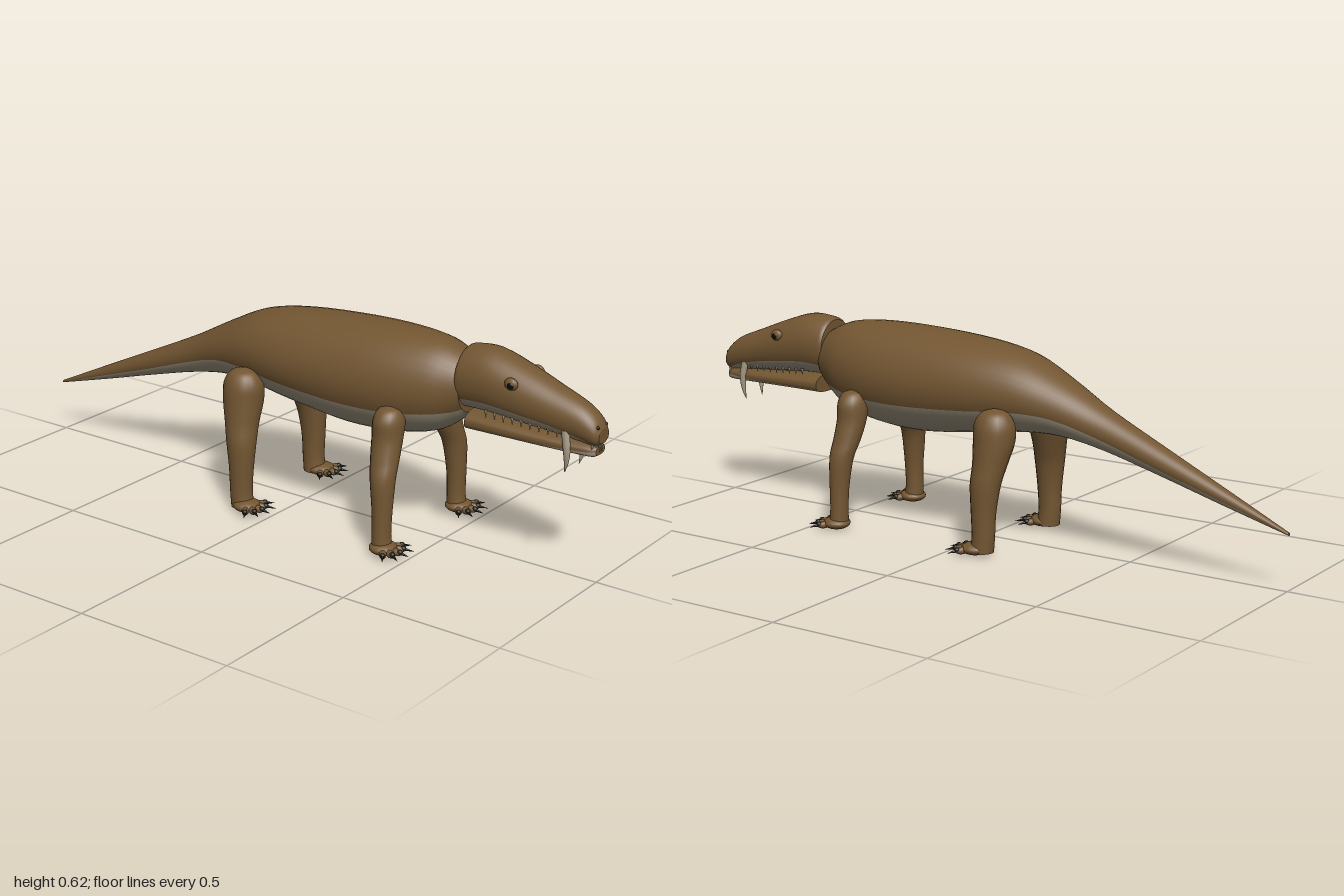
import * as THREE from 'three';

const mat = (name, color) => Object.assign(new THREE.MeshStandardMaterial({ color }), { name });

// Smooths a short table of section rows into many rows
function refine(rows, steps) {
  const n = rows.length, k = rows[0].length;
  const spline = new THREE.CubicInterpolant(rows.map((_, i) => i), rows.flat(), k, new Float32Array(k));
  const out = [];
  for (let i = 0; i <= (n - 1) * steps; i++) out.push(Array.from(spline.evaluate(i / steps)));
  return out;
}

// Skins closed rings; segments from index `split` on use the second material
function loft(rings, split) {
  const n = rings[0].length, pos = rings.flat(2), upper = [], lower = [];
  for (let i = 0; i < rings.length - 1; i++) {
    for (let j = 0; j < n; j++) {
      const a = i * n + j, b = i * n + (j + 1) % n;
      (j < split ? upper : lower).push(a, a + n, b, b, a + n, b + n);
    }
  }
  // End caps with their own vertices, so the rims stay sharp
  [rings[0], rings[rings.length - 1]].forEach((ring, end) => {
    const base = pos.length / 3;
    pos.push(...ring.flat());
    for (let c = 0; c < 3; c++) pos.push(ring.reduce((s, p) => s + p[c], 0) / n);
    for (let j = 0; j < n; j++) {
      const a = base + j, b = base + (j + 1) % n;
      upper.push(base + n, end ? b : a, end ? a : b);
    }
  });
  const g = new THREE.BufferGeometry();
  g.setAttribute('position', new THREE.Float32BufferAttribute(pos, 3));
  g.setIndex([...upper, ...lower]);
  g.addGroup(0, upper.length, 0);
  g.addGroup(upper.length, lower.length, 1);
  g.computeVertexNormals();
  return g;
}

// Rows run from front to back: [z, top, bottom, half width, height of colour edge];
// pow < 1 makes the lower half boxier
function trunk(rows, pow = 1) {
  const up = 24, low = 16;
  const rings = refine(rows, 4).map(([z, top, bottom, w, edge]) => {
    const yc = (top + bottom) / 2, ry = Math.max((top - bottom) / 2, 0.002);
    const s = THREE.MathUtils.clamp((edge - yc) / ry, -0.97, 0);
    const a = -Math.asin(Math.pow(-s, 1 / pow)), ring = [];
    for (let j = 0; j < up + low; j++) {
      const t = j < up ? a + (Math.PI - 2 * a) * j / up
        : Math.PI - a + (Math.PI + 2 * a) * (j - up) / low;
      const p = Math.sin(t) < 0 ? pow : 1;
      const f = v => Math.sign(v) * Math.pow(Math.abs(v), p);
      ring.push([w * f(Math.cos(t)), yc + ry * f(Math.sin(t)), z]);
    }
    return ring;
  });
  return loft(rings, up);
}

// Rows are [x, y, z, radius x, radius z], from the top down
function limb(rows) {
  const n = 18;
  return loft(refine(rows, 4).map(([x, y, z, rx, rz]) => Array.from({ length: n }, (_, j) => {
    const t = j / n * Math.PI * 2;
    return [x + rx * Math.cos(t), y, z - rz * Math.sin(t)];
  })), n);
}

export function createModel() {
  const model = new THREE.Group();
  model.name = 'sabreToothedReptile';
  const hide = mat('brownHide', 0x735632), belly = mat('paleBelly', 0x9c917d);
  const ivory = mat('ivory', 0xa89c86), claw = mat('darkClaw', 0x1e1c14), dark = mat('blackEye', 0x0c0a08);

  const add = (parent, name, geometry, material, p = [0, 0, 0], s = [1, 1, 1]) => {
    const m = new THREE.Mesh(geometry, material);
    m.name = name;
    m.position.set(...p);
    m.scale.set(...s);
    parent.add(m);
    return m;
  };
  const ball = new THREE.SphereGeometry(1, 16, 12);

  // Body and tail in one skin
  add(model, 'bodyAndTail', trunk([
    [0.58, 0.565, 0.41, 0.075, 0.43], [0.55, 0.585, 0.38, 0.092, 0.42], [0.48, 0.61, 0.335, 0.125, 0.41],
    [0.36, 0.62, 0.308, 0.153, 0.40], [0.2, 0.618, 0.30, 0.163, 0.40], [0, 0.603, 0.322, 0.155, 0.41],
    [-0.15, 0.575, 0.342, 0.13, 0.42], [-0.28, 0.515, 0.345, 0.095, 0.41], [-0.42, 0.44, 0.32, 0.061, 0.365],
    [-0.6, 0.355, 0.272, 0.042, 0.30], [-0.8, 0.262, 0.215, 0.024, 0.232], [-1, 0.168, 0.16, 0.006, 0.162],
  ]), [hide, belly]);

  // Head
  const head = new THREE.Group();
  head.name = 'head';
  model.add(head);
  add(head, 'skull', trunk([
    [1, 0.455, 0.412, 0.028, 0.412], [0.983, 0.484, 0.402, 0.041, 0.41], [0.94, 0.515, 0.407, 0.051, 0.428],
    [0.86, 0.546, 0.415, 0.063, 0.447], [0.76, 0.584, 0.422, 0.076, 0.462], [0.66, 0.615, 0.43, 0.083, 0.472],
    [0.585, 0.612, 0.43, 0.081, 0.468], [0.567, 0.603, 0.43, 0.077, 0.46],
  ], 0.9), [hide, belly]);
  add(head, 'lowerJaw', trunk([
    [0.992, 0.405, 0.378, 0.024, 0.391], [0.98, 0.409, 0.373, 0.033, 0.39], [0.94, 0.413, 0.373, 0.042, 0.388],
    [0.83, 0.42, 0.375, 0.056, 0.386], [0.7, 0.428, 0.376, 0.065, 0.387], [0.597, 0.432, 0.375, 0.067, 0.386],
  ], 0.6), [hide, belly]);

  const tooth = new THREE.ConeGeometry(1, 1, 8).rotateX(Math.PI);
  for (const side of [1, -1]) {
    // Eyes under low brow lids
    add(head, 'eyelid', ball, hide, [side * 0.07, 0.546, 0.747], [0.012, 0.018, 0.021]);
    add(head, 'eye', ball, dark, [side * 0.076, 0.544, 0.749], [0.008, 0.011, 0.012]);
    add(head, 'nostril', ball, dark, [side * 0.022, 0.46, 0.992], [0.005, 0.005, 0.006]);
    // Long curved sabre
    add(head, 'sabre', limb([
      [side * 0.043, 0.44, 0.905, 0.009, 0.012], [side * 0.045, 0.39, 0.913, 0.009, 0.011],
      [side * 0.043, 0.35, 0.913, 0.006, 0.007], [side * 0.039, 0.318, 0.907, 0.001, 0.001],
    ]), ivory);
    // Small cheek teeth and incisors
    for (let i = 0; i < 9; i++) {
      const u = i / 8;
      add(head, 'cheekTooth', tooth, ivory,
        [side * (0.055 - 0.013 * u), 0.436 - 0.012 * u, 0.66 + 0.22 * u], [0.005, 0.022, 0.005]);
    }
    for (let i = 0; i < 3; i++) {
      add(head, 'incisor', tooth, ivory, [side * (0.006 + 0.011 * i), 0.397, 0.993 - 0.006 * i], [0.004, 0.028, 0.004]);
    }
  }

  // Legs: path rows plus the foot position
  const kinds = {
    frontLeg: { foot: [0.196, 0.42], rows: [
      [0.14, 0.425, 0.395, 0.008, 0.008], [0.14, 0.415, 0.395, 0.033, 0.032], [0.141, 0.385, 0.395, 0.05, 0.045],
      [0.147, 0.335, 0.395, 0.046, 0.045], [0.166, 0.275, 0.4, 0.041, 0.042], [0.185, 0.22, 0.407, 0.037, 0.037],
      [0.192, 0.13, 0.411, 0.03, 0.03], [0.194, 0.06, 0.411, 0.029, 0.028], [0.194, 0.01, 0.414, 0.031, 0.031]] },
    hindLeg: { foot: [0.186, -0.085], rows: [
      [0.145, 0.432, -0.125, 0.008, 0.008], [0.145, 0.42, -0.125, 0.038, 0.042], [0.145, 0.385, -0.125, 0.056, 0.062],
      [0.147, 0.335, -0.125, 0.06, 0.062], [0.161, 0.27, -0.12, 0.051, 0.052], [0.174, 0.21, -0.113, 0.044, 0.046],
      [0.179, 0.13, -0.11, 0.036, 0.038], [0.18, 0.06, -0.11, 0.033, 0.035], [0.18, 0.01, -0.105, 0.034, 0.036]] },
  };
  const clawCone = new THREE.ConeGeometry(0.0065, 0.036, 8).rotateX(Math.PI / 2);
  for (const [name, { foot, rows }] of Object.entries(kinds)) {
    for (const side of [1, -1]) {
      const leg = new THREE.Group();
      leg.name = (side > 0 ? 'left ' : 'right ') + name;
      model.add(leg);
      add(leg, 'limb', limb(rows.map(([x, ...rest]) => [x * side, ...rest])), hide);
      const [fx, fz] = foot;
      add(leg, 'foot', ball, hide, [fx * side, 0.019, fz], [0.042, 0.019, 0.042]);
      // Five spread toes with claws
      for (let i = -2; i <= 2; i++) {
        const toe = new THREE.Group();
        toe.name = 'toe';
        toe.position.set(fx * side, 0.016, fz);
        toe.rotation.y = i * 0.5;
        leg.add(toe);
        add(toe, 'toePad', ball, hide, [0, 0, 0.042], [0.011, 0.011, 0.021]);
        add(toe, 'claw', clawCone, claw, [0, -0.001, 0.071]).rotation.x = 0.15;
        add(toe, 'clawBase', ball, claw, [0, 0.003, 0.057], [0.008, 0.008, 0.009]);
      }
    }
  }
  return model;
}
